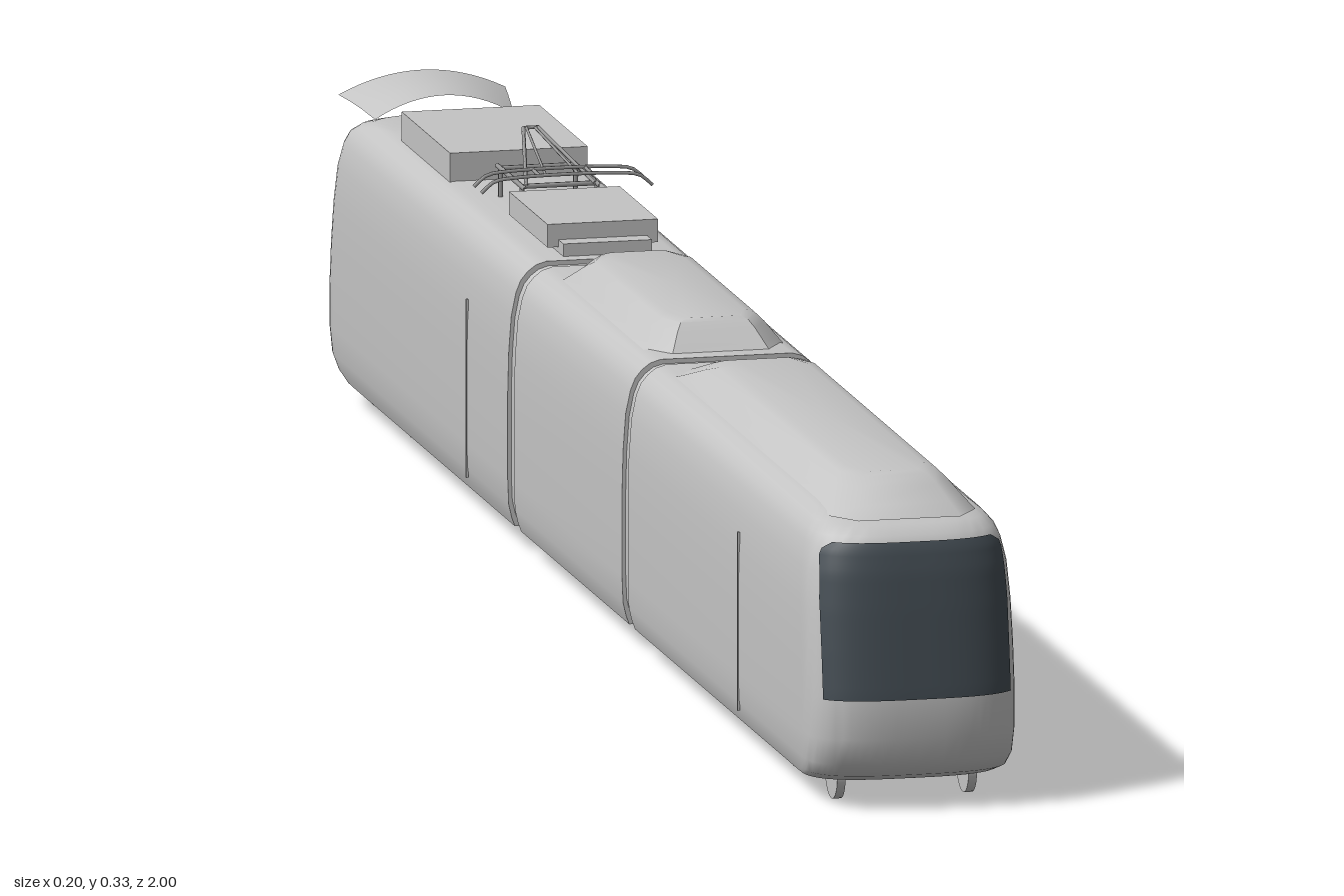
import * as THREE from 'three';
import { toCreasedNormals } from 'three/addons/utils/BufferGeometryUtils.js';

const bodyGrey = new THREE.MeshStandardMaterial({ color: 0xc4c4c4, side: THREE.DoubleSide });
bodyGrey.name = 'body grey';
const darkGlass = new THREE.MeshStandardMaterial({ color: 0x424b52, side: THREE.DoubleSide });
darkGlass.name = 'dark glass';
const metalGrey = new THREE.MeshStandardMaterial({ color: 0x9a9a9a });
metalGrey.name = 'metal grey';

// Body outline by height: [y, half width, nose z]
const LAYERS = [
  [0.024, 0.093, 0.955], [0.032, 0.096, 0.978], [0.045, 0.099, 0.99], [0.07, 0.1, 0.997],
  [0.11, 0.1, 0.997], [0.15, 0.1, 0.991], [0.19, 0.099, 0.985], [0.225, 0.0965, 0.979],
  [0.247, 0.092, 0.973], [0.258, 0.0875, 0.967], [0.266, 0.081, 0.953], [0.272, 0.073, 0.93],
  [0.275, 0.063, 0.89],
];
const NOSE = 0.06; // depth of the rounded nose in plan

function add(parent, name, geometry, material, x = 0, y = 0, z = 0) {
  const mesh = new THREE.Mesh(geometry, material);
  mesh.name = name;
  mesh.position.set(x, y, z);
  parent.add(mesh);
  return mesh;
}

// Solid from stacked rings of [x, y, z], counterclockwise from above
function loft(rings, crease = 0.6) {
  const n = rings[0].length;
  const pos = rings.flat();
  const index = [];
  for (let i = 0; i < rings.length - 1; i++) {
    for (let j = 0; j < n; j++) {
      const k = (j + 1) % n;
      const a = i * n + j, b = i * n + k, c = b + n, d = a + n;
      index.push(a, b, c, a, c, d);
    }
  }
  const centre = (ring) => [0, 1, 2].map((k) => ring.reduce((s, p) => s + p[k], 0) / n);
  const bottom = pos.push(centre(rings[0])) - 1;
  const top = pos.push(centre(rings[rings.length - 1])) - 1;
  const last = (rings.length - 1) * n;
  for (let j = 0; j < n; j++) {
    const k = (j + 1) % n;
    index.push(bottom, k, j, top, last + j, last + k);
  }
  const geo = new THREE.BufferGeometry();
  geo.setAttribute('position', new THREE.Float32BufferAttribute(pos.flat(), 3));
  geo.setIndex(index);
  geo.computeVertexNormals();
  return toCreasedNormals(geo, crease);
}

// Cab car: rounded nose at +z, flat wall at zBack
function cabBody(zBack) {
  const steps = 28;
  return loft(LAYERS.map(([y, w, f]) => {
    const ring = [];
    for (let i = 0; i <= steps; i++) {
      const t = (i / steps - 0.5) * Math.PI;
      const s = Math.sin(t), c = Math.max(0, Math.cos(t));
      ring.push([w * Math.sign(s) * Math.abs(s) ** (2 / 3), y, f - NOSE + NOSE * c ** (2 / 3)]);
    }
    ring.push([w, y, zBack], [-w, y, zBack]);
    return ring;
  }));
}

// Straight body piece between two z positions
function straightBody(z0, z1, scale = 1) {
  return loft(LAYERS.map(([y, w]) => {
    const x = w * scale, h = 0.15 + (y - 0.15) * scale;
    return [[-x, h, z1], [x, h, z1], [x, h, z0], [-x, h, z0]];
  }));
}

// Windscreen that follows the nose
function windscreenGeometry() {
  const geo = new THREE.PlaneGeometry(2, 1, 40, 24);
  const p = geo.attributes.position;
  for (let i = 0; i < p.count; i++) {
    const y = 0.108 + 0.145 * (p.getY(i) + 0.5);
    const k = LAYERS.findIndex((l) => l[0] > y);
    const [a, b] = [LAYERS[k - 1], LAYERS[k]];
    const m = (y - a[0]) / (b[0] - a[0]);
    const w = a[1] + (b[1] - a[1]) * m, f = a[2] + (b[2] - a[2]) * m;
    const r = Math.max(0, (y - 0.238) / 0.015); // rounded upper corners
    const half = 0.09 - Math.max(0, y - 0.2) * 0.06 - 0.011 * (1 - Math.sqrt(Math.max(0, 1 - r * r)));
    const x = p.getX(i) * half;
    const z = f - NOSE + NOSE * Math.cbrt(1 - Math.min(1, Math.abs(x / w)) ** 3);
    p.setXYZ(i, x, y, z + 0.003);
  }
  geo.computeVertexNormals();
  return geo;
}

// Roof fairing with sloping sides and ends
function fairing(z0, z1, rise0, rise1) {
  const rows = [[0.27, 0.07, 0], [0.28, 0.062, 0.3], [0.292, 0.053, 0.65], [0.299, 0.046, 0.88], [0.302, 0.036, 1]];
  return loft(rows.map(([y, w, k]) => {
    const a = z0 + rise0 * k, b = z1 - rise1 * k, c = w * 0.7;
    return [[-w, y, b - 0.03], [-c, y, b], [c, y, b], [w, y, b - 0.03],
      [w, y, a + 0.03], [c, y, a], [-c, y, a], [-w, y, a + 0.03]];
  }));
}

function rod(parent, name, points, r = 0.0018) {
  const curve = new THREE.CatmullRomCurve3(points.map((q) => new THREE.Vector3(...q)));
  add(parent, name, new THREE.TubeGeometry(curve, points.length > 2 ? 24 : 1, r, 6), metalGrey);
}

function box(parent, name, w, y0, y1, z0, z1, material = bodyGrey) {
  add(parent, name, new THREE.BoxGeometry(w, y1 - y0, z1 - z0), material, 0, (y0 + y1) / 2, (z0 + z1) / 2);
}

export function createModel() {
  const tram = new THREE.Group();
  tram.name = 'tram';

  // Three car bodies, with a windscreen at each end
  for (const [name, turn] of [['front', 0], ['rear', Math.PI]]) {
    const car = new THREE.Group();
    car.name = name + 'Car';
    car.rotation.y = turn;
    add(car, 'cabBody', cabBody(0.24), bodyGrey);
    add(car, 'windscreen', windscreenGeometry(), darkGlass);
    // Wheels in pairs
    for (const z of [0.765, 0.915]) {
      for (const x of [-0.063, 0.063]) {
        const wheel = add(car, 'wheel', new THREE.CylinderGeometry(0.025, 0.025, 0.008, 28), bodyGrey, x, 0.025, z);
        wheel.rotation.z = Math.PI / 2;
      }
    }
    tram.add(car);
  }
  add(tram, 'middleCar', straightBody(-0.215, 0.217), bodyGrey);

  // Recessed joints between the cars
  for (const s of [-1, 1]) {
    add(tram, 'gangway', straightBody(s * 0.228 - 0.016, s * 0.228 + 0.016, 0.965), bodyGrey);
  }

  // Door seams
  for (const s of [-1, 1]) {
    for (const z of [0.68, -0.405]) {
      add(tram, 'doorSeam', new THREE.BoxGeometry(0.002, 0.17, 0.003), bodyGrey, s * 0.0995, 0.122, z);
    }
  }

  // Roof fairings
  add(tram, 'frontFairing', fairing(0.25, 0.95, 0.11, 0.07), bodyGrey);
  add(tram, 'middleFairing', fairing(-0.195, 0.2, 0.055, 0.035), bodyGrey);

  // Equipment boxes on the rear roof
  box(tram, 'largeRoofBox', 0.132, 0.272, 0.302, -0.805, -0.612);
  box(tram, 'smallRoofBox', 0.1, 0.272, 0.288, -0.862, -0.8);
  box(tram, 'middleRoofBox', 0.106, 0.28, 0.302, -0.43, -0.277);
  box(tram, 'lowRoofBox', 0.085, 0.272, 0.287, -0.43, -0.257);

  // Arched visor above the rear windscreen
  const visor = new THREE.PlaneGeometry(0.16, 0.09, 16, 3).rotateX(-Math.PI / 2);
  const v = visor.attributes.position;
  for (let i = 0; i < v.count; i++) {
    const u = v.getX(i) / 0.08, front = v.getZ(i) / 0.09 + 0.5;
    v.setXYZ(i, v.getX(i) * (1 - 0.17 * front), 0.299 - 0.02 * u * u - 0.006 * front * front, v.getZ(i) - 0.955);
  }
  visor.computeVertexNormals();
  add(tram, 'rearVisor', visor, bodyGrey);

  // Pantograph: base frame, arms and collector bow
  const panto = new THREE.Group();
  panto.name = 'pantograph';
  for (const s of [-1, 1]) {
    rod(panto, 'baseRail', [[s * 0.036, 0.302, -0.435], [s * 0.036, 0.302, -0.548]], 0.0025);
    for (const z of [-0.45, -0.535]) rod(panto, 'baseLeg', [[s * 0.036, 0.302, z], [s * 0.036, 0.273, z]], 0.0025);
    rod(panto, 'mainArm', [[s * 0.033, 0.303, -0.445], [s * 0.007, 0.333, -0.565]]);
    rod(panto, 'innerArm', [[s * 0.016, 0.313, -0.435], [s * 0.004, 0.333, -0.565]], 0.0014);
  }
  for (const z of [-0.45, -0.535]) rod(panto, 'baseBar', [[-0.036, 0.302, z], [0.036, 0.302, z]], 0.0025);
  rod(panto, 'armTip', [[-0.008, 0.333, -0.565], [0.008, 0.333, -0.565]]);
  for (const z of [-0.42, -0.45]) {
    rod(panto, 'collectorBow', [[-0.082, 0.304, z], [-0.07, 0.314, z], [-0.05, 0.317, z],
      [0.05, 0.317, z], [0.07, 0.314, z], [0.082, 0.304, z]]);
  }
  for (const s of [-1, 1]) rod(panto, 'bowLink', [[s * 0.025, 0.317, -0.42], [s * 0.025, 0.317, -0.45]]);
  tram.add(panto);

  return tram;
}
